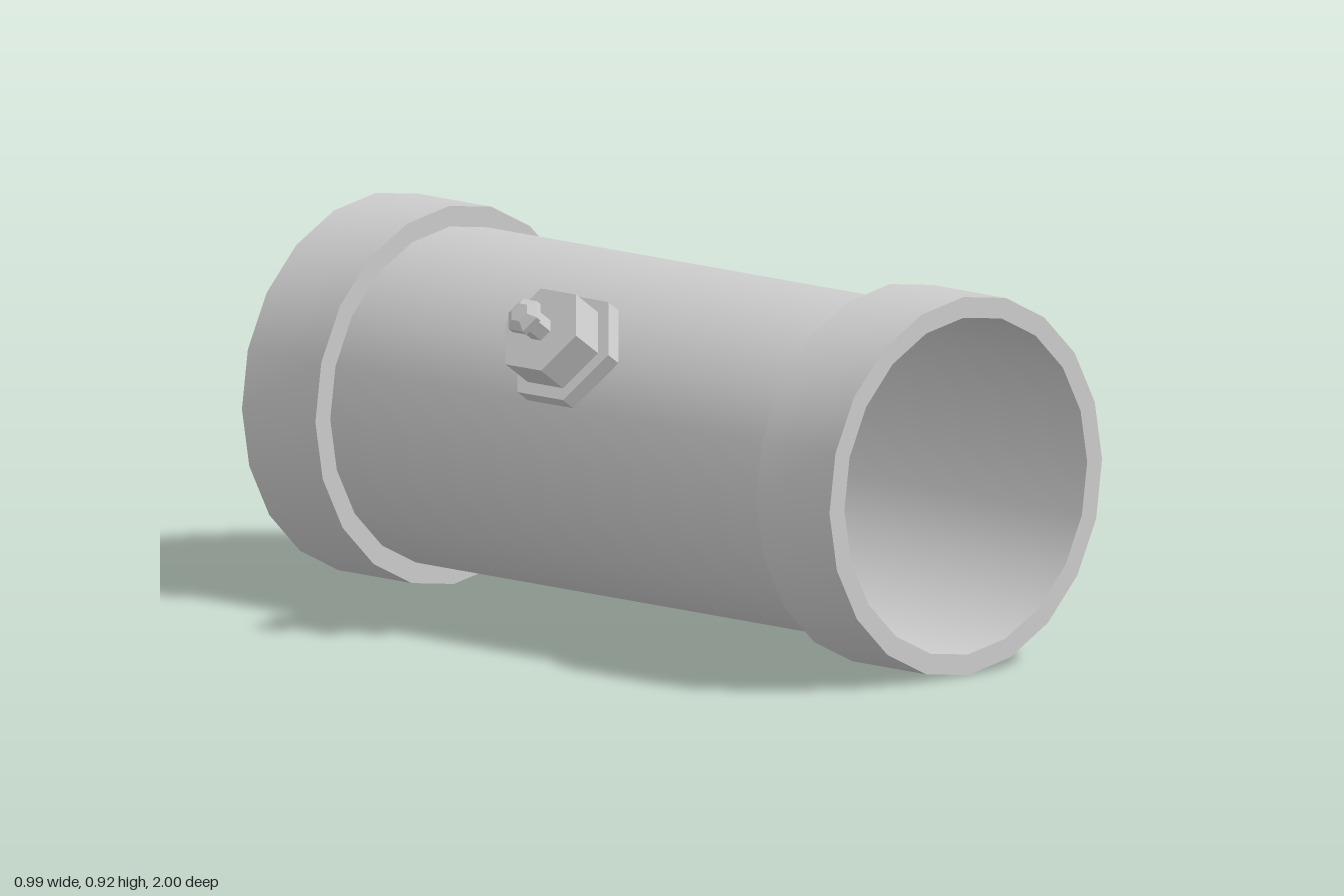
import * as THREE from 'three';
import { toCreasedNormals } from 'three/addons/utils/BufferGeometryUtils.js';

const SIDES = 20;
const BORE = 0.412, RIM = 0.4625; // pipe and collar radii

export function createModel() {
  const model = new THREE.Group();
  model.name = 'pipeSection';

  const smooth = new THREE.MeshStandardMaterial({ color: 0xcccccc, side: THREE.DoubleSide });
  const faceted = new THREE.MeshStandardMaterial({ color: 0xcccccc, flatShading: true });

  const add = (parent, name, geometry, material) => {
    const mesh = new THREE.Mesh(geometry, material);
    mesh.name = name;
    parent.add(mesh);
    return mesh;
  };

  // Everything hangs on the pipe axis
  const body = new THREE.Group();
  body.name = 'body';
  body.position.set(0.0325, RIM, 0);
  model.add(body);

  const turn = THREE.MathUtils.degToRad(1);

  // Thin-walled open pipe
  const pipe = new THREE.CylinderGeometry(BORE, BORE, 2, SIDES, 1, true);
  pipe.rotateX(Math.PI / 2).rotateZ(turn);
  add(body, 'pipe', pipe, smooth);

  // End collars: outer wall and two ring faces, closed inside by the pipe
  const half = 0.125;
  const profile = [[BORE, -half], [RIM, -half], [RIM, half], [BORE, half]]
    .map(([r, y]) => new THREE.Vector2(r, y));
  const collar = toCreasedNormals(new THREE.LatheGeometry(profile, SIDES), 0.6);
  collar.rotateX(Math.PI / 2).rotateZ(turn);
  add(body, 'frontCollar', collar, smooth).position.z = 1 - half;
  add(body, 'backCollar', collar, smooth).position.z = -1 + half;

  // Hexagonal valve pointing radially outwards, up and to the right side
  const valve = new THREE.Group();
  valve.name = 'valve';
  valve.rotation.z = THREE.MathUtils.degToRad(55);
  body.add(valve);

  // name, start and end distance from the pipe axis, corner radius at start and end
  const hexParts = [
    ['valveFlange', 0.41, 0.452, 0.155, 0.155],
    ['valveNut', 0.452, 0.543, 0.12, 0.12],
    ['valveStem', 0.543, 0.602, 0.032, 0.032],
    ['valveCap', 0.602, 0.618, 0.048, 0.048],
    ['valveTip', 0.618, 0.633, 0.048, 0.026],
  ];
  for (const [name, from, to, rFrom, rTo] of hexParts) {
    const hex = new THREE.CylinderGeometry(rTo, rFrom, to - from, 6);
    add(valve, name, hex, faceted).position.y = (from + to) / 2;
  }

  return model;
}
